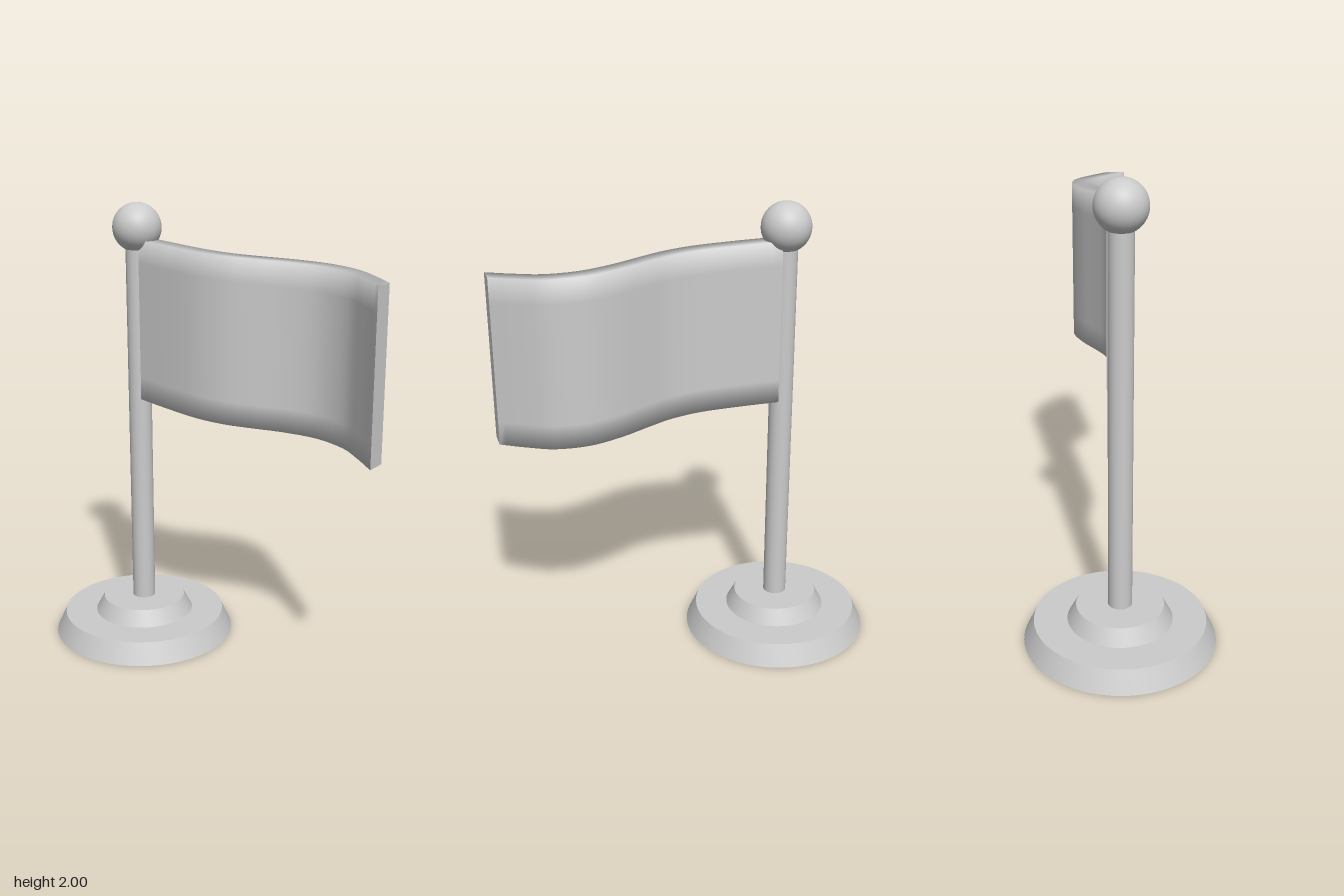
import * as THREE from 'three';
import { toCreasedNormals } from 'three/addons/utils/BufferGeometryUtils.js';

const POLE_X = -0.413;
const material = new THREE.MeshStandardMaterial({ color: 0xcccccc, roughness: 0.8 });

function addMesh(group, name, geometry, x = 0, y = 0) {
  const mesh = new THREE.Mesh(geometry, material);
  mesh.name = name;
  mesh.position.set(x, y, 0);
  group.add(mesh);
}

// Waving cloth: a thin rectangular section swept along a wavy centre line
function flagGeometry() {
  const cols = 40, rows = 7, half = 0.045, height = 0.708;
  const wave = new THREE.CatmullRomCurve3([
    [-0.38, -0.008], [-0.2, 0.02], [-0.03, 0.036], [0.1, 0.02], [0.2, -0.015],
    [0.34, -0.07], [0.48, -0.098], [0.62, -0.07], [0.72, -0.005], [0.825, 0.078],
  ].map(([x, z]) => new THREE.Vector3(x, 0, z)));

  const pos = [], index = [];
  const ring = 2 * (rows + 1);
  for (let i = 0; i <= cols; i++) {
    const p = wave.getPoint(i / cols);
    const top = 1.845 - 0.075 * (p.x + 0.38) / 1.205;
    // up the front face, then down the back face
    for (let j = 0; j <= rows; j++) pos.push(p.x, top - height * (1 - j / rows), p.z + half);
    for (let j = 0; j <= rows; j++) pos.push(p.x, top - height * j / rows, p.z - half);
  }
  for (let i = 0; i < cols; i++) {
    for (let j = 0; j < ring; j++) {
      const a = i * ring + j, b = i * ring + (j + 1) % ring;
      index.push(a, a + ring, b + ring, a, b + ring, b);
    }
  }
  // flat ends with their own vertices, so the side normals stay smooth
  for (const [col, flip] of [[0, false], [cols, true]]) {
    const start = pos.length / 3;
    for (const j of [0, rows, rows + 1, ring - 1]) {
      const k = (col * ring + j) * 3;
      pos.push(pos[k], pos[k + 1], pos[k + 2]);
    }
    const [a, b, c, d] = [start, start + 1, start + 2, start + 3];
    if (flip) index.push(a, d, c, a, c, b);
    else index.push(a, b, c, a, c, d);
  }
  const geometry = new THREE.BufferGeometry();
  geometry.setAttribute('position', new THREE.Float32BufferAttribute(pos, 3));
  geometry.setIndex(index);
  geometry.computeVertexNormals();
  return geometry;
}

export function createModel() {
  const group = new THREE.Group();
  group.name = 'flagOnStand';

  // Two-step base with sloping sides
  const profile = [[0, 0], [0.416, 0], [0.372, 0.095], [0.227, 0.095], [0.189, 0.165], [0, 0.165]]
    .map(([r, y]) => new THREE.Vector2(r, y));
  addMesh(group, 'base', toCreasedNormals(new THREE.LatheGeometry(profile, 64), 0.5), POLE_X);

  // Pole and ball finial
  addMesh(group, 'pole', new THREE.CylinderGeometry(0.052, 0.052, 1.69, 32), POLE_X, 0.985);
  addMesh(group, 'finial', new THREE.SphereGeometry(0.107, 40, 24), POLE_X, 1.893);

  addMesh(group, 'flag', flagGeometry());
  return group;
}
